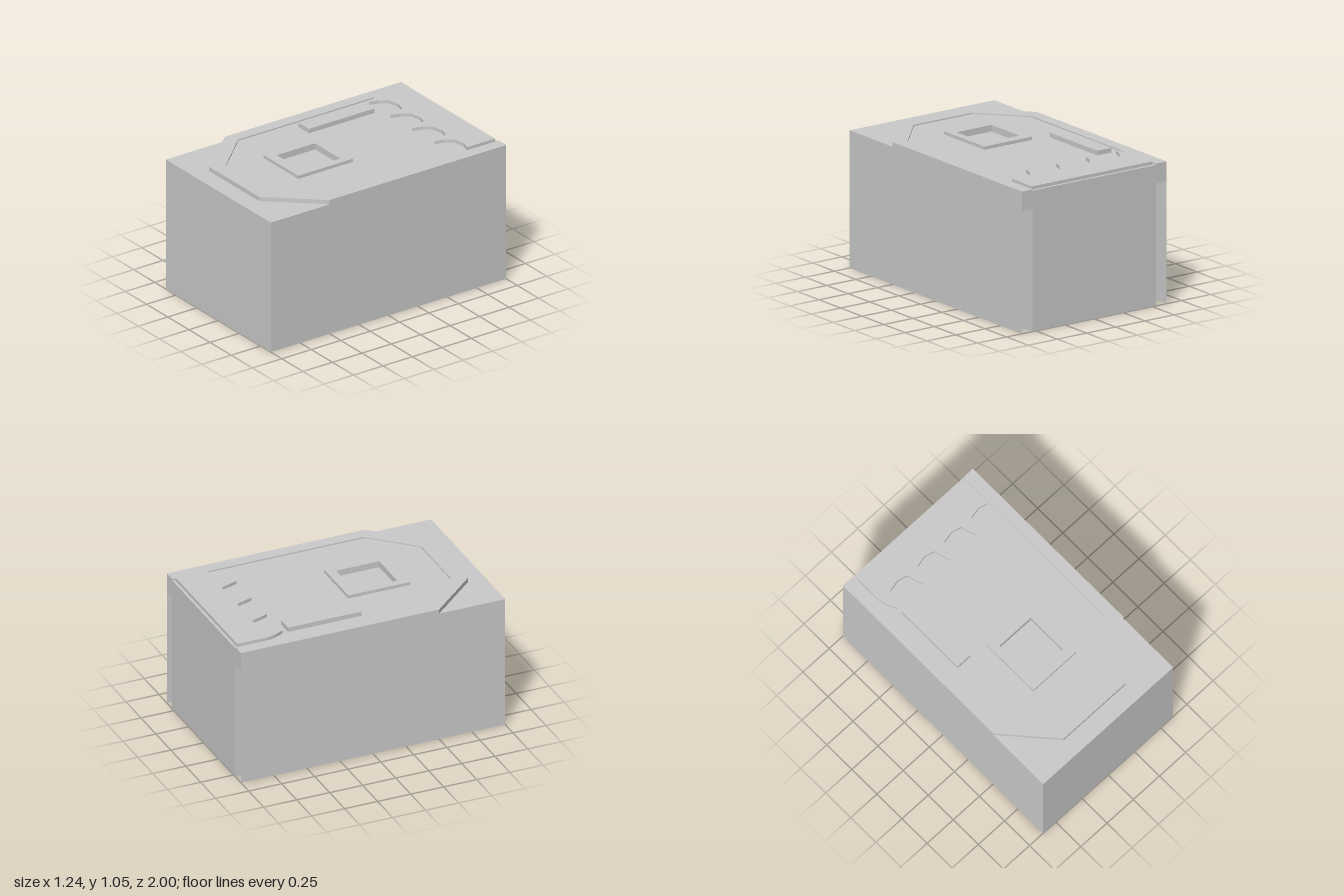
import * as THREE from 'three';

const material = new THREE.MeshStandardMaterial({ color: 0xcccccc, flatShading: true });
const sheet = new THREE.MeshStandardMaterial({ color: 0xcccccc, side: THREE.DoubleSide });

const toVectors = (points) => points.map(([a, b]) => new THREE.Vector2(a, b));
const rect = (x0, x1, z0, z1) => [[x0, z0], [x1, z0], [x1, z1], [x0, z1]];

export function createModel() {
  const model = new THREE.Group();

  const add = (name, geometry, mat = material) => {
    const mesh = new THREE.Mesh(geometry, mat);
    mesh.name = name;
    model.add(mesh);
    return mesh;
  };

  // Horizontal plate from an (x, z) outline, between two heights
  const plate = (name, outline, bottom, top, hole) => {
    const shape = new THREE.Shape(toVectors(outline));
    if (hole) shape.holes.push(new THREE.Path(toVectors(hole)));
    const geometry = new THREE.ExtrudeGeometry(shape, { depth: top - bottom, bevelEnabled: false });
    geometry.rotateX(Math.PI / 2).translate(0, top, 0);
    return add(name, geometry);
  };

  const W = 0.62, IW = 0.53;
  const shellTop = 0.99, deckTop = 1.023, floorTop = 1.013;

  // Outer casing: thin side and front walls, open below and behind
  for (const side of [-1, 1]) {
    const wall = add(side > 0 ? 'leftWall' : 'rightWall', new THREE.PlaneGeometry(2, shellTop), sheet);
    wall.rotation.y = side * Math.PI / 2;
    wall.position.set(side * W, shellTop / 2, 0);
  }
  add('frontWall', new THREE.PlaneGeometry(2 * W, shellTop), sheet).position.set(0, shellTop / 2, 1);
  plate('casingTop', rect(-W, W, -1, 1), 0.88, shellTop);

  // Raised deck rim, chamfered at the front and open at the back
  plate('deckRim', [
    [-W, -1], [-W, 0.5], [-0.295, 0.865], [0.295, 0.865], [W, 0.5], [W, -1],
    [IW, -1], [IW, 0.45], [0.25, 0.755], [-0.25, 0.755], [-IW, 0.45], [-IW, -1],
  ], shellTop, deckTop);

  // Inner body: flat underside at the back, sloping up towards the nose
  const profile = new THREE.Shape(toVectors([[-1, 0], [-0.43, 0], [0.45, 0.195], [0.45, shellTop], [-1, shellTop]]));
  add('innerBody', new THREE.ExtrudeGeometry(profile, { depth: 2 * IW, bevelEnabled: false })
    .rotateY(-Math.PI / 2).translate(IW, 0, 0));
  plate('innerNose', [[-IW, 0.45], [IW, 0.45], [0.25, 0.755], [-0.25, 0.755]], 0.195, shellTop);

  // Slightly sunken floor with a square opening
  const opening = rect(-0.15, 0.15, 0.07, 0.395);
  plate('sunkenFloor', [
    [-IW, -1], [IW, -1], [IW, 0.45], [0.25, 0.755], [-0.25, 0.755], [-IW, 0.45],
  ], shellTop, floorTop, opening);

  // Fittings on the deck
  plate('hatchFrame', rect(-0.205, 0.203, 0, 0.467), floorTop, 1.037, opening);
  plate('raisedBar', rect(-0.465, -0.343, -0.573, -0.017), floorTop, 1.047);

  // Rear plate with a scalloped front edge of four pointed teeth
  const scallops = [[0.515, -0.98], [-0.515, -0.98], [-0.515, -0.743], [-0.5, -0.685]];
  const arc = [[0, -0.617], [0.02, -0.685], [0.058, -0.743], [0.143, -0.762], [0.218, -0.743], [0.232, -0.685]];
  for (let i = 0; i < 4; i++) {
    const last = i === 3 ? 5 : 6;
    for (const [x, z] of arc.slice(0, last)) scallops.push([Math.min(-0.468 + i * 0.257 + x, 0.515), z]);
  }
  scallops.push([0.515, -0.743]);
  plate('scallopedPlate', scallops, floorTop, 1.037);

  return model;
}
